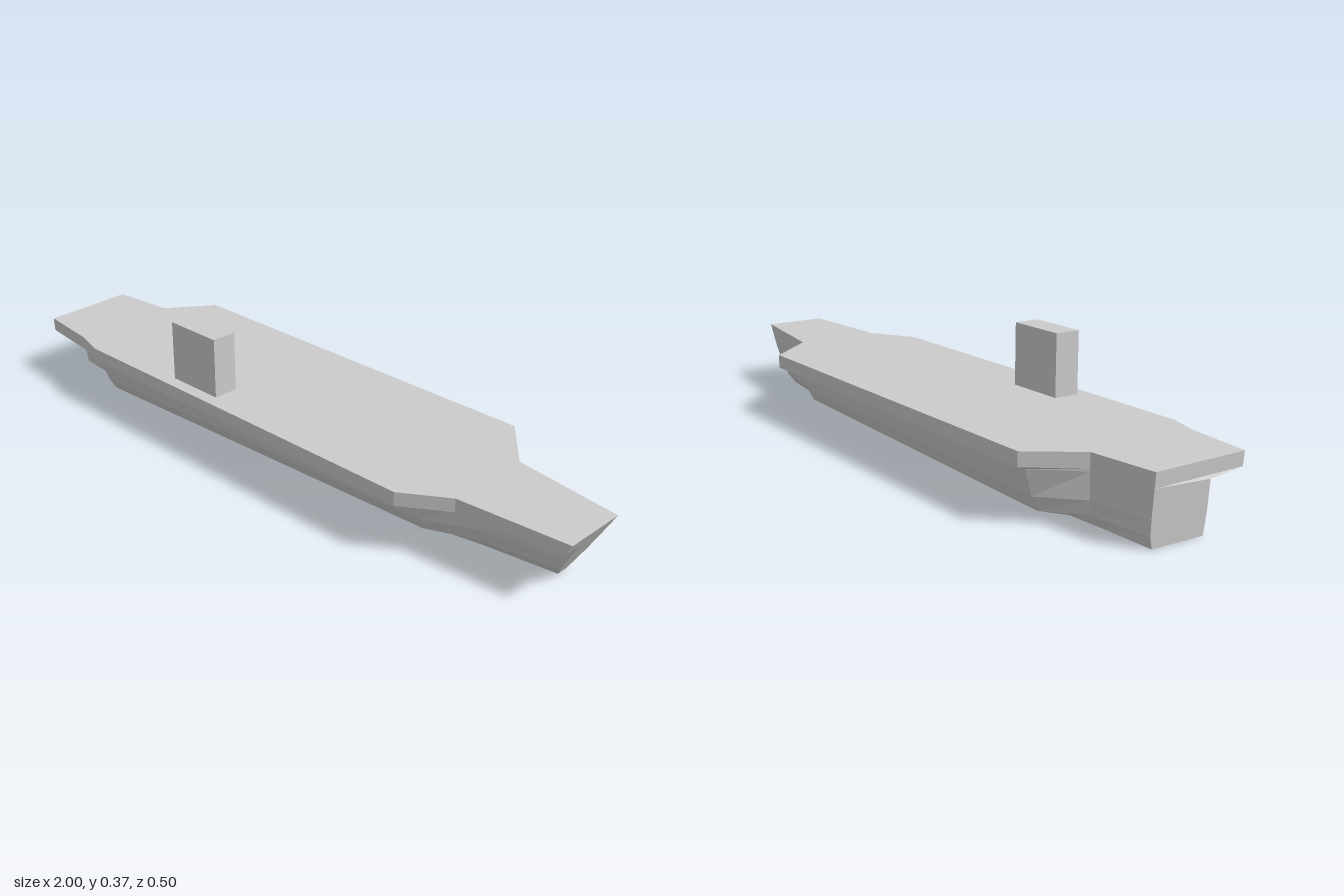
import * as THREE from 'three';

const material = new THREE.MeshStandardMaterial({ color: 0xcccccc, flatShading: true, side: THREE.DoubleSide });

// Heights of the section points: deck, deck edge underside, hull top, bilge, chine, bottom
const LEVELS = [0.19, 0.15, 0.142, 0.07, 0.03, 0];

// Stations from stern to bow: x, rake (x shift at the bottom), half widths per level on -z and +z
const STATIONS = [
  { x: -1.0, rake: 0.015, back: [0.09, 0.09, 0.09, 0.09, 0.088, 0.08], front: [0.2, 0.2, 0.085, 0.085, 0.083, 0.08] },
  { x: -0.8, rake: 0, back: [0.112, 0.112, 0.112, 0.11, 0.1, 0.085], front: [0.222, 0.222, 0.125, 0.122, 0.115, 0.095] },
  { x: -0.7, rake: 0, back: [0.25, 0.25, 0.228, 0.207, 0.188, 0.09], front: [0.25, 0.25, 0.23, 0.203, 0.178, 0.105] },
  { x: 0.54, rake: 0, back: [0.25, 0.25, 0.172, 0.153, 0.132, 0.08], front: [0.25, 0.25, 0.178, 0.155, 0.13, 0.07] },
  { x: 0.67, rake: 0, back: [0.098, 0.098, 0.098, 0.09, 0.073, 0.045], front: [0.166, 0.166, 0.105, 0.095, 0.075, 0.045] },
  { x: 1.0, rake: -0.11, back: [0.05, 0.05, 0.05, 0.046, 0.035, 0.017], front: [0.142, 0.142, 0.063, 0.05, 0.036, 0.017] },
];

// Closed section: down the -z side, across the bottom and up the +z side
function section({ x, rake, back, front }, index) {
  const point = (y, z) => {
    const skew = index === 0 && z > 0.1 ? 0.01 : 0;
    return [x + skew + rake * (1 - y / LEVELS[0]), y, z];
  };
  const down = LEVELS.map((y, i) => point(y, -back[i]));
  const up = LEVELS.map((y, i) => point(y, front[i])).reverse();
  return [...down, ...up];
}

function hullGeometry() {
  const rings = STATIONS.map(section);
  const n = rings[0].length;
  const positions = [];
  const quad = (a, b, c, d) => positions.push(...a, ...b, ...c, ...a, ...c, ...d);

  // Plating and deck between neighbouring stations
  for (let i = 0; i < rings.length - 1; i++) {
    for (let k = 0; k < n; k++) {
      const next = (k + 1) % n;
      quad(rings[i][k], rings[i + 1][k], rings[i + 1][next], rings[i][next]);
    }
  }
  // Transom and stem faces
  const stern = rings[0], bow = rings[rings.length - 1];
  for (let j = 0; j < LEVELS.length - 1; j++) {
    quad(stern[j], stern[j + 1], stern[n - 2 - j], stern[n - 1 - j]);
    quad(bow[n - 1 - j], bow[n - 2 - j], bow[j + 1], bow[j]);
  }
  const geometry = new THREE.BufferGeometry();
  geometry.setAttribute('position', new THREE.Float32BufferAttribute(positions, 3));
  geometry.computeVertexNormals();
  return geometry;
}

export function createModel() {
  const ship = new THREE.Group();
  ship.name = 'carrierShip';

  const hull = new THREE.Mesh(hullGeometry(), material);
  hull.name = 'hullAndFlightDeck';

  // Control tower near the +z deck edge
  const tower = new THREE.Mesh(new THREE.BoxGeometry(0.183, 0.18, 0.077), material);
  tower.name = 'islandTower';
  tower.position.set(-0.267, 0.28, 0.173);

  ship.add(hull, tower);
  return ship;
}
